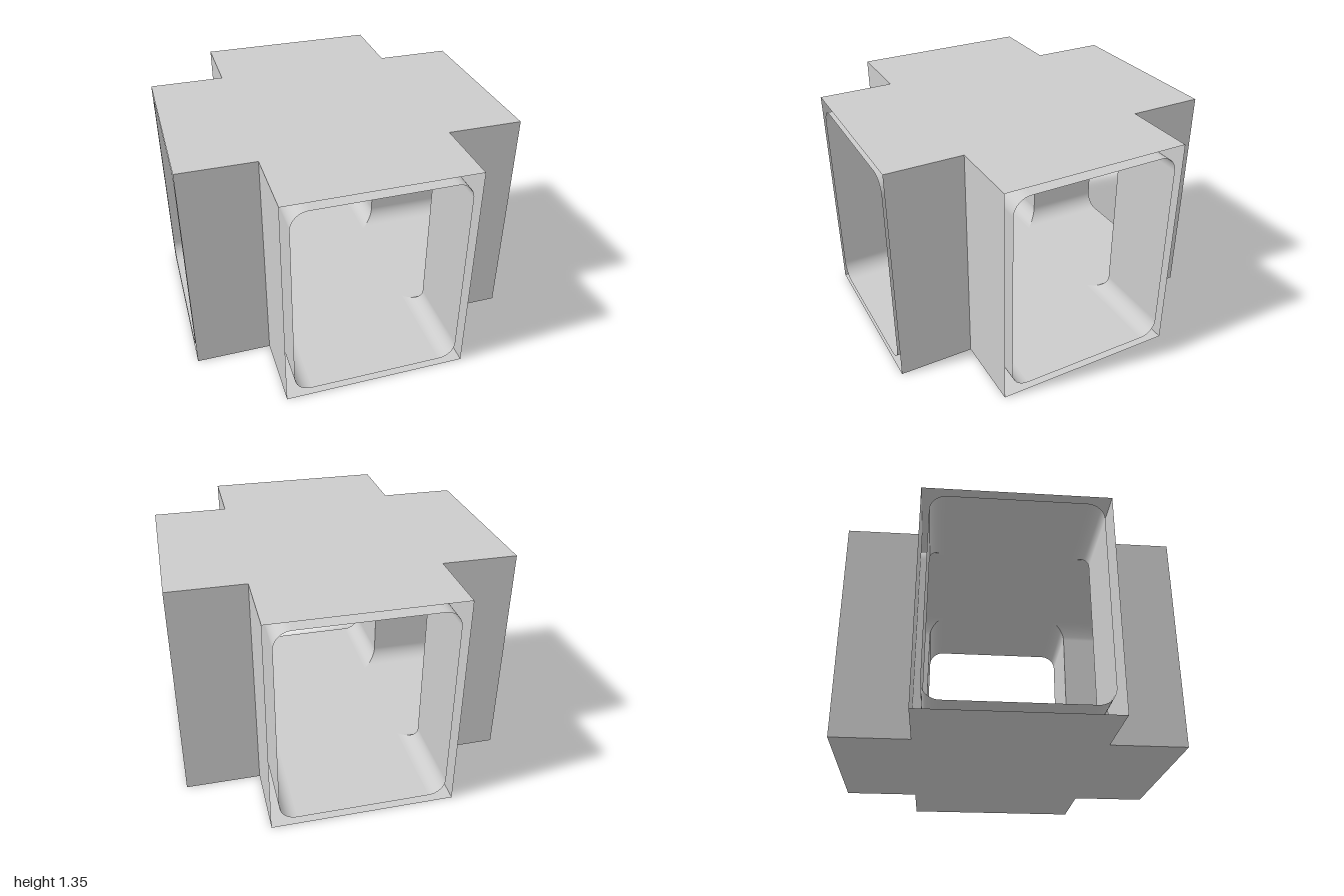
import * as THREE from 'three';

const H = 1.35, OUT = 0.55, IN = 0.5, R = 0.1, GAP = 0.05;
const material = new THREE.MeshStandardMaterial({ color: 0xcccccc, side: THREE.DoubleSide });

// Flat plus-shaped plate with arms of half-width w reaching to 1
function crossPlate(name, w, y, up) {
  const quarter = [[w, 1], [w, w], [1, w]];
  const pts = [];
  for (let k = 0; k < 4; k++) {
    const c = Math.round(Math.cos(-k * Math.PI / 2)), s = Math.round(Math.sin(-k * Math.PI / 2));
    quarter.forEach(([x, z]) => pts.push(new THREE.Vector2(x * c - z * s, x * s + z * c)));
  }
  const geo = new THREE.ShapeGeometry(new THREE.Shape(pts));
  geo.rotateX(up ? -Math.PI / 2 : Math.PI / 2);
  geo.translate(0, y, 0);
  const mesh = new THREE.Mesh(geo, material);
  mesh.name = name;
  return mesh;
}

// Lining profile: half-width and height from floor to ceiling, with rounded corners
function liningProfile(steps = 12) {
  const pts = [];
  for (const top of [false, true]) {
    for (let i = 0; i <= steps; i++) {
      const a = (i / steps) * Math.PI / 2 - (top ? 0 : Math.PI / 2);
      const cy = top ? H - GAP - R : GAP + R;
      pts.push([IN - R + R * Math.cos(a), cy + R * Math.sin(a)]);
    }
  }
  return pts;
}

// One side of an arm's lining, mitred where it meets the neighbouring arm
function liningWall(side) {
  const pos = [], index = [];
  liningProfile().forEach(([w, y], i, all) => {
    pos.push(side * w, y, w, side * w, y, 1);
    if (i === all.length - 1) return;
    const a = i * 2, b = a + 1, c = a + 2, d = a + 3;
    index.push(...(side > 0 ? [a, b, c, b, d, c] : [a, c, b, b, c, d]));
  });
  const geo = new THREE.BufferGeometry();
  geo.setAttribute('position', new THREE.Float32BufferAttribute(pos, 3));
  geo.setIndex(index);
  geo.computeVertexNormals();
  return geo;
}

export function createModel() {
  const model = new THREE.Group();
  model.name = 'crossJunction';

  // Outer and inner roof and floor sheets
  model.add(
    crossPlate('outerRoof', OUT, H, true),
    crossPlate('outerFloor', OUT, 0, false),
    crossPlate('innerCeiling', IN - R, H - GAP, false),
    crossPlate('innerFloor', IN - R, GAP, true)
  );

  // Four open-ended arms, each with two outer walls and two lining walls
  ['front', 'left', 'back', 'right'].forEach((label, k) => {
    const arm = new THREE.Group();
    arm.name = label + 'Arm';
    for (const side of [1, -1]) {
      const wall = new THREE.PlaneGeometry(1 - OUT, H);
      wall.rotateY(side * Math.PI / 2);
      wall.translate(side * OUT, H / 2, (1 + OUT) / 2);
      const outer = new THREE.Mesh(wall, material);
      outer.name = 'outerWall';
      const lining = new THREE.Mesh(liningWall(side), material);
      lining.name = 'liningWall';
      arm.add(outer, lining);
    }
    arm.rotation.y = k * Math.PI / 2;
    model.add(arm);
  });
  return model;
}
